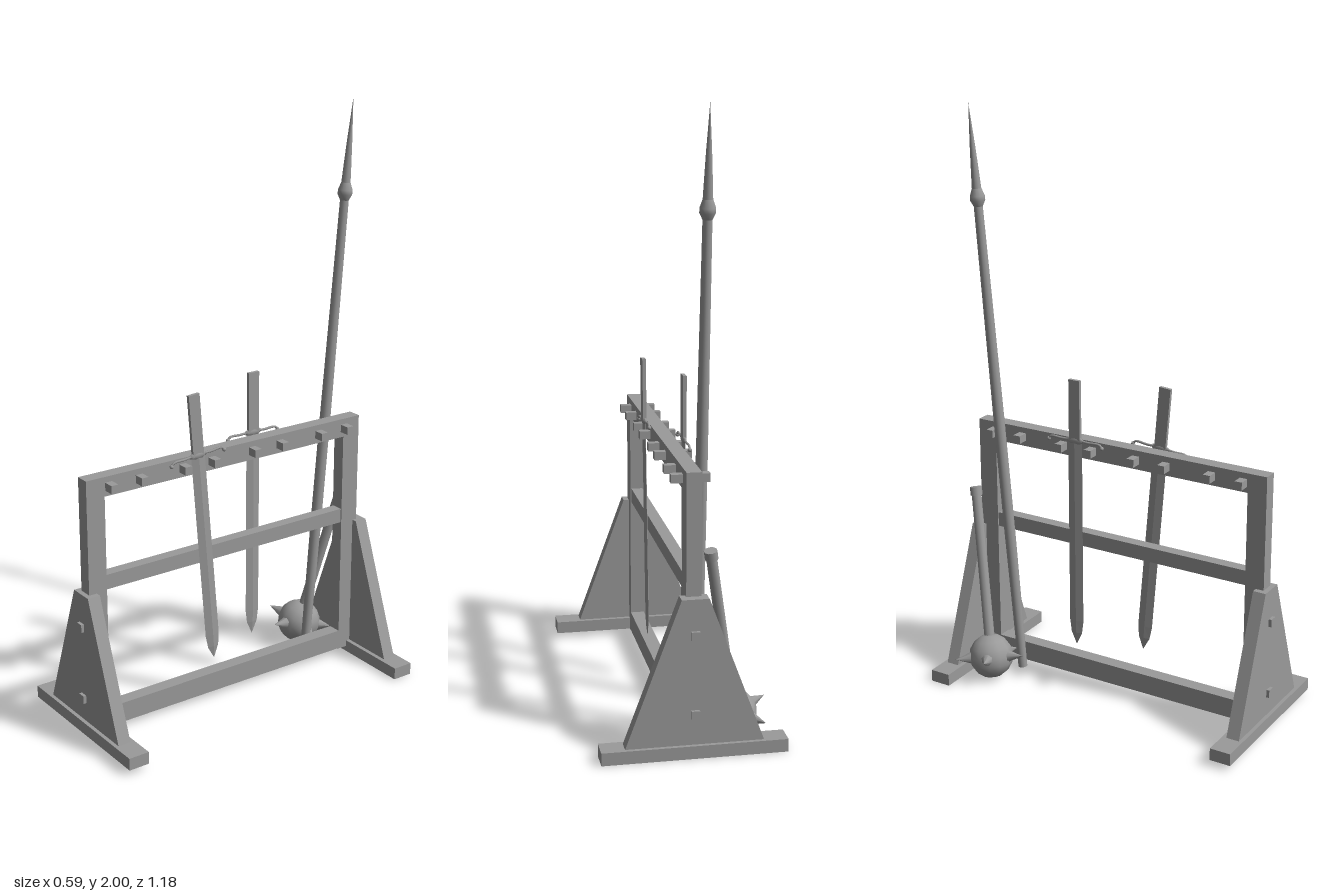
import * as THREE from 'three';

const color = 0x9a9a9a;
const flatMat = new THREE.MeshStandardMaterial({ color, flatShading: true });
const openMat = new THREE.MeshStandardMaterial({ color, flatShading: true, side: THREE.DoubleSide });
const smoothMat = new THREE.MeshStandardMaterial({ color });
const V = (x, y, z) => new THREE.Vector3(x, y, z);

function add(parent, name, geometry, x = 0, y = 0, z = 0, material = flatMat) {
  const mesh = new THREE.Mesh(geometry, material);
  mesh.name = name;
  mesh.position.set(x, y, z);
  parent.add(mesh);
  return mesh;
}

const addRound = (parent, name, geometry) => add(parent, name, geometry, 0, 0, 0, smoothMat);

// Box given by its lower and upper y and its z range, centred on x = 0
function beam(parent, name, width, y0, y1, z0, z1) {
  return add(parent, name, new THREE.BoxGeometry(width, y1 - y0, z1 - z0), 0, (y0 + y1) / 2, (z0 + z1) / 2);
}

const lathe = (points, sides) =>
  new THREE.LatheGeometry(points.map(([r, y]) => new THREE.Vector2(r, y)), sides);

// Flat outline in the x-y plane, thickened along z
function slab(points, depth) {
  const shape = new THREE.Shape(points.map(([a, b]) => new THREE.Vector2(a, b)));
  return new THREE.ExtrudeGeometry(shape, { depth, bevelEnabled: false }).translate(0, 0, -depth / 2);
}

// One end of the rack: hollow foot, tapered board and two bolts
function endSupport(name, side, footY, boardHalf) {
  const group = new THREE.Group();
  group.name = name;
  const foot = new THREE.BoxGeometry(0.59, 0.042, 0.073);
  const index = Array.from(foot.index.array);
  index.splice(18, 6); // open underside
  foot.setIndex(index);
  add(group, 'foot', foot, 0, footY + 0.021, side * 0.552, openMat);
  const base = footY + 0.04;
  add(group, 'taperedBoard',
    slab([[-boardHalf, base], [boardHalf, base], [0.043, 0.517], [-0.043, 0.517]], 0.045), 0, 0, side * 0.553);
  for (const y of [0.145, 0.402])
    add(group, 'bolt', new THREE.BoxGeometry(0.027, 0.027, 0.024), 0, y, side * 0.574);
  return group;
}

// Sword hanging point down; the origin is at the middle of the guard
function sword(name) {
  const holder = new THREE.Group();
  holder.name = name;
  const body = new THREE.Group();
  body.rotation.y = -Math.PI / 2;
  holder.add(body);
  // Blade with a diamond section
  const rows = [[0.027, 0.006, 0], [0.027, 0.006, -0.66], [0.021, 0.005, -0.705], [0, 0, -0.75]];
  const pos = [], idx = [];
  for (const [w, t, y] of rows) pos.push(w, y, 0, 0, y, t, -w, y, 0, 0, y, -t);
  for (let r = 0; r < rows.length - 1; r++)
    for (let k = 0; k < 4; k++) {
      const a = r * 4 + k, b = r * 4 + (k + 1) % 4;
      idx.push(a, b, a + 4, b, b + 4, a + 4);
    }
  const blade = new THREE.BufferGeometry();
  blade.setAttribute('position', new THREE.Float32BufferAttribute(pos, 3));
  blade.setIndex(idx);
  blade.computeVertexNormals();
  add(body, 'blade', blade, 0, 0, 0, openMat);
  add(body, 'grip', new THREE.BoxGeometry(0.042, 0.215, 0.012), 0, 0.108, 0);
  // Slim guard with drooping, knobbed ends
  const curve = new THREE.CatmullRomCurve3([
    V(-0.105, -0.008, 0), V(-0.095, 0.003, 0), V(-0.05, 0.003, 0), V(0, 0.006, 0),
    V(0.05, 0.003, 0), V(0.095, 0.003, 0), V(0.105, -0.008, 0)]);
  addRound(body, 'guard', new THREE.TubeGeometry(curve, 32, 0.004, 6));
  for (const side of [-1, 1])
    addRound(body, 'guardKnob', new THREE.SphereGeometry(0.007, 8, 6).translate(side * 0.104, -0.007, 0));
  addRound(body, 'guardBoss', new THREE.SphereGeometry(1, 8, 6).scale(0.035, 0.014, 0.008).translate(0, 0.004, 0));
  return holder;
}

// Place a part at one point with its y axis aimed towards another
function aim(object, from, to) {
  object.position.copy(from);
  object.quaternion.setFromUnitVectors(V(0, 1, 0), to.clone().sub(from).normalize());
}

function spear() {
  const group = new THREE.Group();
  group.name = 'spear';
  aim(group, V(-0.042, 0.006, -0.374), V(-0.042, 2, -0.542));
  addRound(group, 'shaft', lathe([[0, 0], [0.016, 0], [0.019, 0.5], [0.019, 0.9], [0.015, 1.67]], 12));
  addRound(group, 'collar', lathe([[0.015, 1.66], [0.025, 1.68], [0.025, 1.695], [0.016, 1.72]], 12));
  addRound(group, 'spearhead', lathe([[0.016, 1.715], [0.014, 1.76], [0.009, 1.86], [0, 2.001]], 12));
  return group;
}

function mace() {
  const group = new THREE.Group();
  group.name = 'spikedMace';
  aim(group, V(-0.152, 0.08, -0.433), V(-0.05, 0.66, -0.552));
  addRound(group, 'ball', new THREE.SphereGeometry(0.078, 12, 8));
  addRound(group, 'handle', lathe([[0.018, 0.05], [0.017, 0.575]], 10));
  addRound(group, 'pommel', new THREE.CylinderGeometry(0.021, 0.021, 0.03, 10).translate(0, 0.588, 0));
  // Ring of five spikes around the ball
  for (let i = 0; i < 5; i++) {
    const angle = THREE.MathUtils.degToRad(12 + i * 72);
    const dir = V(Math.cos(angle), 0, Math.sin(angle));
    const spike = addRound(group, 'spike', new THREE.ConeGeometry(0.022, 0.06, 8).translate(0, 0.03, 0));
    aim(spike, dir.clone().multiplyScalar(0.067), dir);
  }
  return group;
}

export function createModel() {
  const model = new THREE.Group();
  model.name = 'weaponRack';

  // Rectangular frame
  const frame = new THREE.Group();
  frame.name = 'frame';
  beam(frame, 'frontPost', 0.048, 0.022, 0.908, 0.492, 0.559);
  beam(frame, 'backPost', 0.048, 0.022, 0.908, -0.547, -0.479);
  beam(frame, 'topRail', 0.048, 0.842, 0.908, -0.479, 0.492);
  beam(frame, 'middleRail', 0.04, 0.519, 0.57, -0.479, 0.492);
  beam(frame, 'bottomRail', 0.048, 0.024, 0.094, -0.479, 0.492);
  model.add(frame);

  // Pegs through the top rail
  for (const z of [-0.48, -0.367, -0.2, -0.085, 0.08, 0.195, 0.362, 0.476])
    add(model, 'peg', new THREE.BoxGeometry(0.122, 0.027, 0.026), 0, 0.875, z);

  model.add(endSupport('frontSupport', 1, 0.022, 0.21));
  model.add(endSupport('backSupport', -1, 0.003, 0.22));

  // Weapons
  const slantedSword = sword('slantedSword');
  slantedSword.position.set(0.034, 0.906, 0.141);
  slantedSword.rotation.x = 0.082;
  const uprightSword = sword('uprightSword');
  uprightSword.position.set(-0.047, 0.906, -0.14);
  model.add(slantedSword, uprightSword, spear(), mace());
  return model;
}
